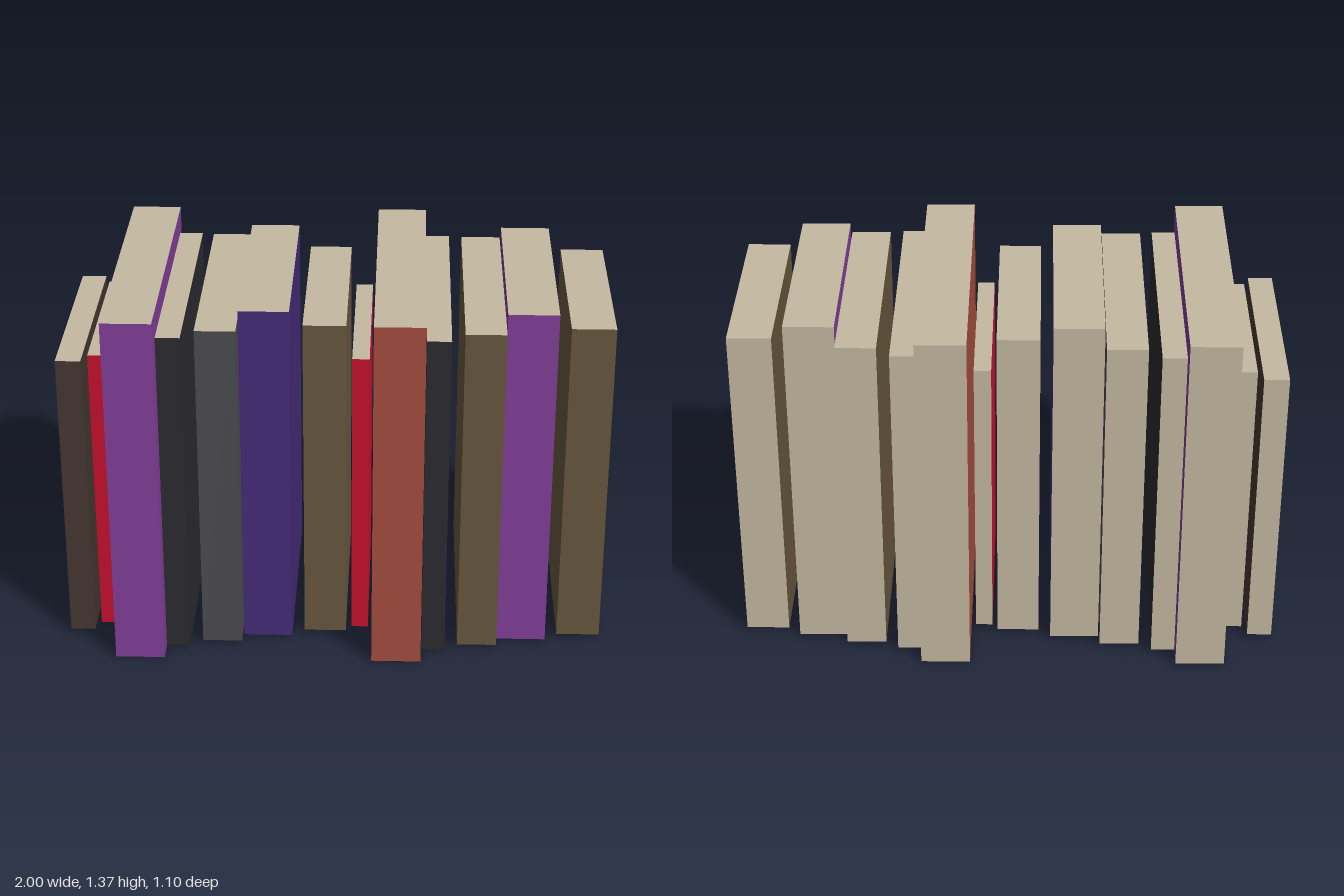
import * as THREE from 'three';

const flat = (name, color) => {
  const m = new THREE.MeshStandardMaterial({ color });
  m.name = name;
  return m;
};

export function createModel() {
  const group = new THREE.Group();
  group.name = 'bookRow';

  const pages = flat('cream pages', 0xc5b9a1);
  const darkBrown = flat('dark brown cover', 0x463832);
  const red = flat('red cover', 0xc8102e);
  const purple = flat('purple cover', 0x843f9b);
  const black = flat('charcoal cover', 0x2b2b31);
  const grey = flat('grey cover', 0x4d4d51);
  const indigo = flat('indigo cover', 0x452c79);
  const brown = flat('brown cover', 0x69593f);
  const rust = flat('rust cover', 0xa84e3f);

  // Book formats: bottom, top, half depth
  const small = [0.015, 1.14, 0.385];
  const thin = [0.015, 1.14, 0.335];
  const large = [0, 1.365, 0.55];
  const slim = [0.015, 1.283, 0.485];
  const medium = [0.015, 1.295, 0.45];
  const tall = [0.015, 1.353, 0.405];
  const compact = [0.015, 1.283, 0.365];

  // Each book: left edge, right edge, format, cover
  const books = [
    [-1, -0.908, small, darkBrown],
    [-0.89, -0.826, thin, red],
    [-0.81, -0.628, large, purple],
    [-0.626, -0.538, slim, black],
    [-0.492, -0.345, medium, grey],
    [-0.34, -0.158, tall, indigo],
    [-0.113, 0.043, compact, brown],
    [0.063, 0.126, thin, red],
    [0.143, 0.326, large, rust],
    [0.328, 0.416, slim, black],
    [0.463, 0.61, medium, brown],
    [0.612, 0.794, tall, purple],
    [0.84, 1, compact, brown],
  ];

  books.forEach(([x0, x1, [y0, y1, depth], cover], i) => {
    // Cover on the two sides and spine; pages on top, bottom and back
    const book = new THREE.Mesh(
      new THREE.BoxGeometry(x1 - x0, y1 - y0, depth * 2),
      [cover, cover, pages, pages, cover, pages]
    );
    book.position.set((x0 + x1) / 2, (y0 + y1) / 2, 0);
    book.name = `book${i + 1}`;
    group.add(book);
  });

  return group;
}
